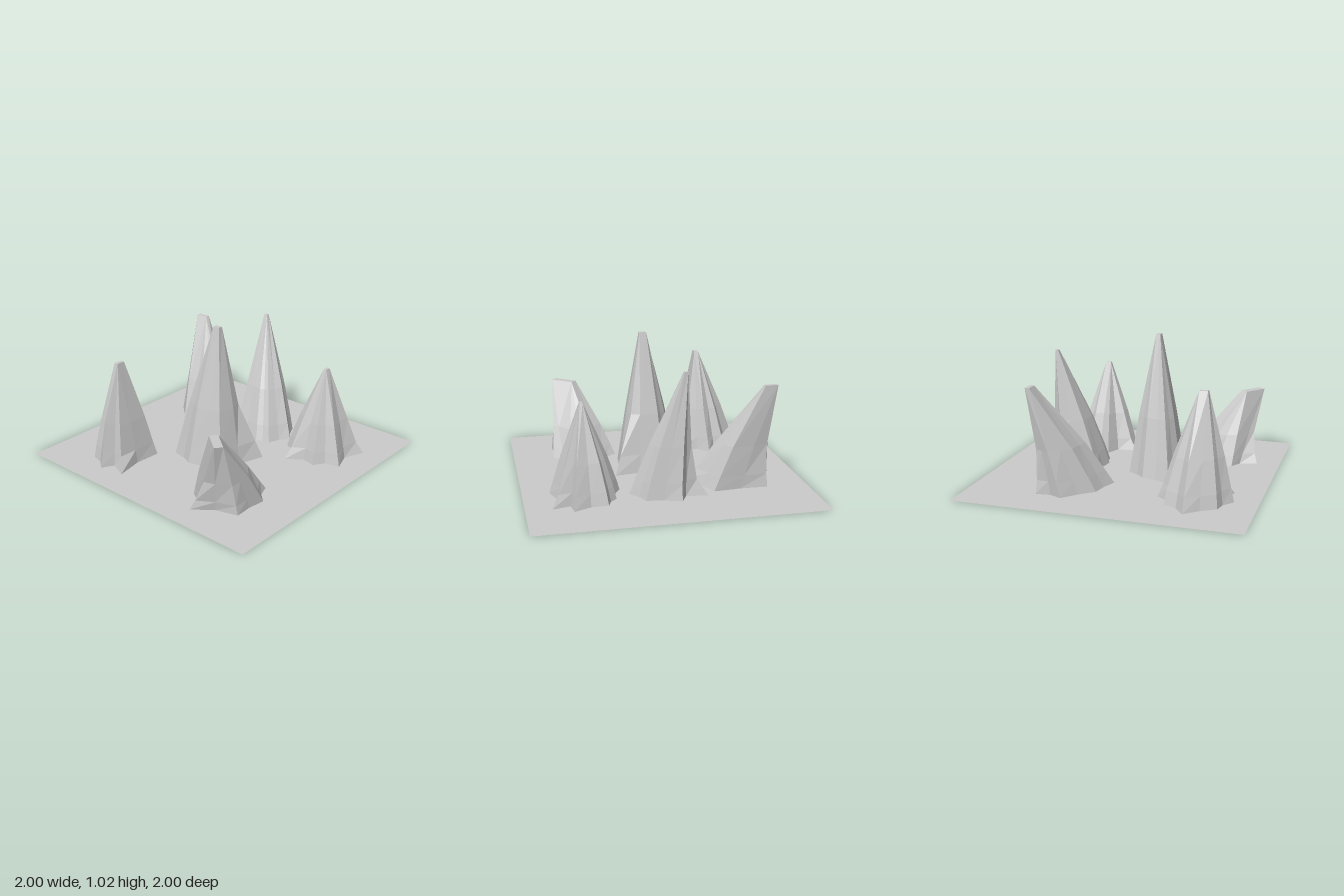
import * as THREE from 'three';

const GROUND = 0.014;

// Each spire: toes of its footprint [x, z], and its blunt tip as a short ridge [x, z] to [x, z].
// notch: how deep the foot is cut between toes; buttress: how far the toes run up the body
const spires = [
  { name: 'centreSpire', height: 1.03, width: 0.015, ridge: [[-0.155, 0.08], [-0.155, 0.03]], notch: 0.9, buttress: 1,
    toes: [[-0.31, -0.23], [-0.1, -0.17], [0.03, -0.07], [0.06, 0.3], [-0.32, 0.22], [-0.36, -0.05]] },
  { name: 'backLeftSpire', height: 0.765, width: 0.015, ridge: [[-0.64, -0.465], [-0.58, -0.465]], notch: 0.74, buttress: 0,
    toes: [[-0.83, -0.47], [-0.75, -0.63], [-0.55, -0.78], [-0.39, -0.65], [-0.31, -0.51], [-0.41, -0.32], [-0.8, -0.29]] },
  { name: 'backRightSpire', height: 0.765, width: 0.015, ridge: [[0.525, -0.66], [0.525, -0.75]], notch: 0.92, buttress: 0.8,
    toes: [[0.06, -0.33], [0.12, -0.55], [0.31, -0.74], [0.5, -0.71], [0.51, -0.32], [0.25, -0.18]] },
  { name: 'rightSpire', height: 0.9, width: 0.01, ridge: [[0.57, -0.08], [0.57, -0.105]], notch: 0.84, buttress: 0.4,
    toes: [[0.24, 0.09], [0.25, -0.13], [0.57, -0.26], [0.64, -0.06], [0.58, 0.18], [0.43, 0.27], [0.27, 0.19]] },
  { name: 'frontLeftSpire', height: 0.545, width: 0.03, ridge: [[-0.81, 0.64], [-0.7, 0.5]], notch: 0.85, buttress: 0.8,
    toes: [[-0.83, 0.4], [-0.66, 0.28], [-0.43, 0.22], [-0.28, 0.38], [-0.28, 0.6], [-0.43, 0.7], [-0.68, 0.69]] },
  { name: 'frontRightSpire', height: 0.685, width: 0.01, ridge: [[0.39, 0.59], [0.43, 0.59]], notch: 0.72, buttress: 0.4,
    toes: [[0.14, 0.44], [0.33, 0.32], [0.5, 0.37], [0.61, 0.44], [0.67, 0.68], [0.6, 0.82], [0.3, 0.81], [0.2, 0.65]] },
];

// Footprint in 2D (z flipped), counter-clockwise from above: a notch is cut between each two toes
function footprint({ toes, notch }) {
  const pts = toes.map(([x, z]) => new THREE.Vector2(x, -z));
  if (THREE.ShapeUtils.isClockWise(pts)) pts.reverse();
  const centre = new THREE.Vector2();
  pts.forEach((p) => centre.addScaledVector(p, 1 / pts.length));
  const radii = pts.map((p) => p.distanceTo(centre)).sort((a, b) => a - b);
  const limit = radii[radii.length >> 1];
  const outline = pts.flatMap((p, i) => {
    const cut = p.clone().add(pts[(i + 1) % pts.length]).multiplyScalar(0.5).sub(centre);
    cut.setLength(Math.min(cut.length() * 0.95, limit * notch));
    return [p, cut.add(centre)];
  });
  return { outline, centre, limit };
}

// Four corners around the tip ridge
function tipCorners({ ridge: [a, b], height, width }) {
  const p = new THREE.Vector3(a[0], height, a[1]);
  const q = new THREE.Vector3(b[0], height, b[1]);
  const d = q.clone().sub(p).setLength(width);
  const side = new THREE.Vector3(-d.z, 0, d.x);
  return [p.clone().add(side), p.clone().sub(side), q.clone().sub(side), q.clone().add(side)];
}

// Hollow spire: ragged foot, two body rings, then a small flat tip
function spireGeometry(spire) {
  const { outline, centre, limit } = footprint(spire);
  const tips = tipCorners(spire);
  const columns = outline.map((p) => {
    const dir = p.clone().sub(centre);
    const r = Math.min(dir.length(), limit * 0.97);
    dir.normalize();
    // tip corner lying furthest in this direction
    const reach = (t) => t.x * dir.x - t.z * dir.y;
    const top = tips.reduce((a, b) => (reach(b) > reach(a) + 1e-6 ? b : a));
    const foot = new THREE.Vector3(p.x, GROUND, -p.y);
    const body = new THREE.Vector3(centre.x + dir.x * r, GROUND, -centre.y - dir.y * r);
    const ring = (t, w) => top.clone().lerp(body, w).setY(GROUND + (top.y - GROUND) * t);
    const middle = ring(0.42, 0.64);
    const lower = ring(0.13, 0.91).lerp(foot.clone().lerp(middle, 0.31), spire.buttress);
    return [foot, lower, middle, top];
  });

  const corners = [];
  const cap = new THREE.Vector3();
  tips.forEach((t) => cap.addScaledVector(t, 1 / tips.length));
  columns.forEach((a, i) => {
    const b = columns[(i + 1) % columns.length];
    for (let k = 0; k < 3; k++) {
      corners.push(a[k], b[k], b[k + 1]);
      if (a[k + 1] !== b[k + 1]) corners.push(a[k], b[k + 1], a[k + 1]);
    }
    if (a[3] !== b[3]) corners.push(a[3], b[3], cap);
  });
  const geometry = new THREE.BufferGeometry().setFromPoints(corners);
  geometry.computeVertexNormals();
  return geometry;
}

export function createModel() {
  const group = new THREE.Group();
  group.name = 'rockSpires';
  const material = new THREE.MeshStandardMaterial({
    color: 0xcccccc, flatShading: true, side: THREE.DoubleSide,
  });
  const add = (name, geometry) => {
    const mesh = new THREE.Mesh(geometry, material);
    mesh.name = name;
    group.add(mesh);
  };

  // Ground sheet, open under every spire
  const sheet = new THREE.Shape().moveTo(-1, -1).lineTo(1, -1).lineTo(1, 1).lineTo(-1, 1);
  sheet.holes = spires.map((s) => new THREE.Path(footprint(s).outline.reverse()));
  add('ground', new THREE.ShapeGeometry(sheet).rotateX(-Math.PI / 2).translate(0, GROUND, 0));

  spires.forEach((s) => add(s.name, spireGeometry(s)));
  return group;
}
